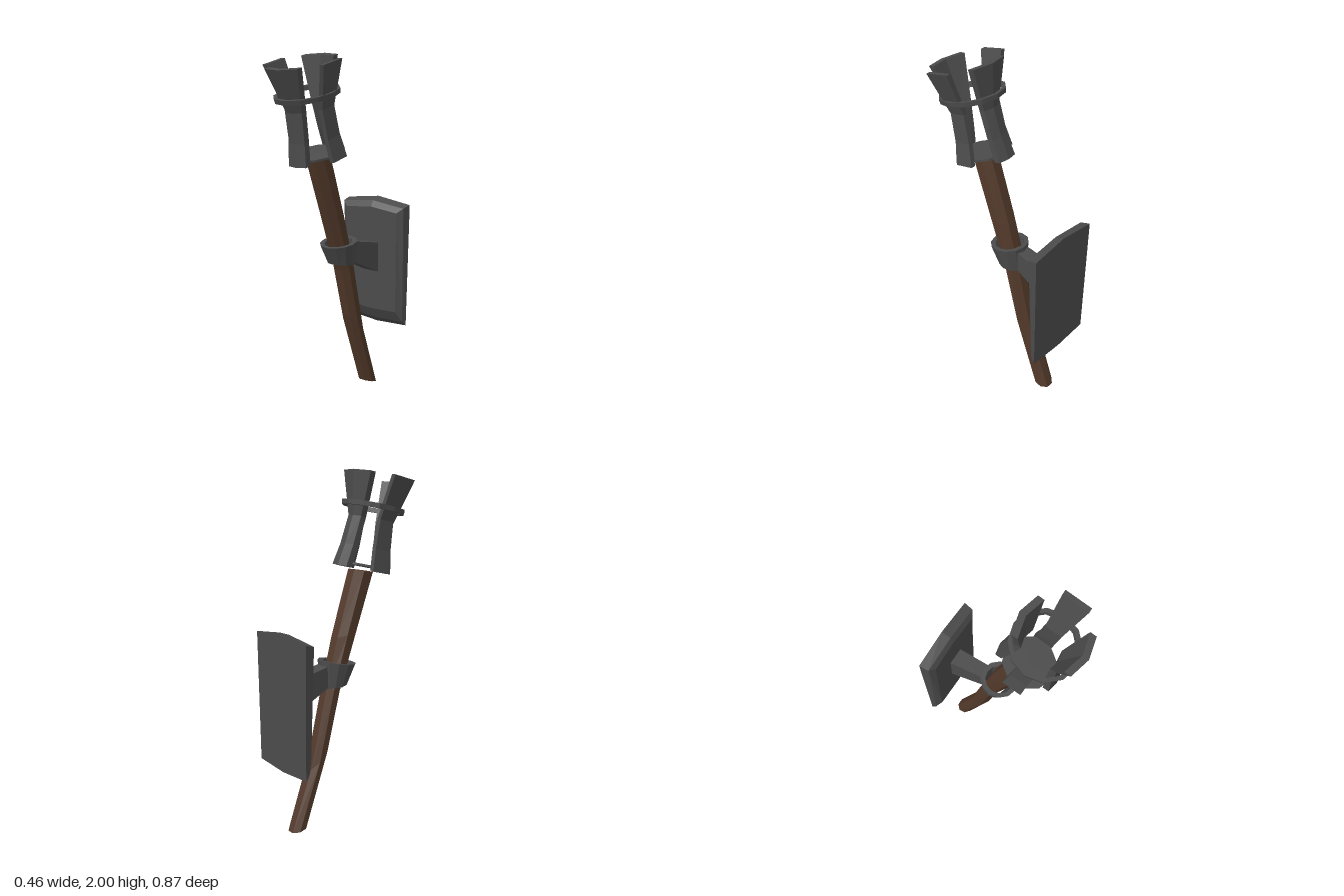
import * as THREE from 'three';

const iron = new THREE.MeshStandardMaterial({ color: 0x4b4b4b });
iron.name = 'dark iron';
const wood = new THREE.MeshStandardMaterial({ color: 0x52392a });
wood.name = 'brown wood';

// Skin a list of equal-length point loops; loops run counter-clockwise seen from the far end.
function loft(loops, caps = true) {
  const n = loops[0].length, out = [];
  const tri = (a, b, c) => out.push(...a, ...b, ...c);
  for (let i = 0; i + 1 < loops.length; i++) {
    for (let j = 0; j < n; j++) {
      const k = (j + 1) % n, lo = loops[i], hi = loops[i + 1];
      tri(lo[j], lo[k], hi[k]);
      tri(lo[j], hi[k], hi[j]);
    }
  }
  if (caps) {
    const first = loops[0], last = loops[loops.length - 1];
    for (let j = 1; j + 1 < n; j++) {
      tri(first[0], first[j + 1], first[j]);
      tri(last[0], last[j], last[j + 1]);
    }
  }
  const g = new THREE.BufferGeometry();
  g.setAttribute('position', new THREE.Float32BufferAttribute(out, 3));
  g.computeVertexNormals(); // unshared corners keep the facets flat
  return g;
}

function add(parent, name, geometry, material = iron) {
  const mesh = new THREE.Mesh(geometry, material);
  mesh.name = name;
  parent.add(mesh);
  return mesh;
}

// Elliptical loop around y between a front and a back point, each given as [z, y].
function oval(front, back, rx, sides, offset = 0) {
  return Array.from({ length: sides }, (_, i) => {
    const t = ((i + offset) / sides) * Math.PI * 2, s = (1 + Math.sin(t)) / 2;
    return [
      rx * Math.cos(t),
      front[1] + (back[1] - front[1]) * s,
      front[0] + (back[0] - front[0]) * s,
    ];
  });
}

// Prong leaning along y, facing +z; rows are [height, outer radius, half width, sag of the sides].
function prong(rows, thick) {
  return loft(rows.map(([y, r, w, sag]) => [
    [0, y, r], [w, y, r - sag], [w, y, r - sag - thick],
    [0, y, r - thick], [-w, y, r - sag - thick], [-w, y, r - sag],
  ]));
}

export function createModel() {
  const model = new THREE.Group();
  model.name = 'wallTorch';

  // Bent eight-sided handle
  const handleRows = [
    [[-0.29, 0.035], [-0.39, 0.01], 0.052],
    [[-0.13, 0.495], [-0.257, 0.363], 0.056],
    [[-0.055, 0.79], [-0.145, 0.82], 0.06],
    [[0.075, 1.14], [-0.07, 1.1], 0.064],
    [[0.187, 1.445], [0.05, 1.468], 0.065],
  ];
  add(model, 'handle', loft(handleRows.map(([f, b, rx]) => {
    const loop = oval(f, b, rx, 8, 0.5), k = 1 / Math.cos(Math.PI / 8);
    const cy = (f[1] + b[1]) / 2, cz = (f[0] + b[0]) / 2;
    return loop.map(([x, y, z]) => [x * k, cy + (y - cy) * k, cz + (z - cz) * k]);
  })), wood);

  // Hollow tapered collar
  const bottomOuter = oval([0.0, 0.833], [-0.16, 0.82], 0.082, 12);
  add(model, 'collar', loft([
    bottomOuter,
    oval([0.055, 0.94], [-0.163, 0.975], 0.108, 12),
    oval([0.028, 0.943], [-0.135, 0.97], 0.081, 12),
    oval([-0.022, 0.833], [-0.138, 0.822], 0.06, 12),
    bottomOuter,
  ], false));

  // Arm widening from the collar to the wall plate
  const arm = (z, w, y0, y1) => [[-w, y0, z], [w, y0, z], [w, y1, z], [-w, y1, z]];
  add(model, 'arm', loft([arm(-0.365, 0.052, 0.725, 0.905), arm(-0.15, 0.042, 0.825, 0.948)]));

  // Bevelled six-cornered wall plate
  const plateLoop = (wb, wt, yb, ybMid, yt, ytMid, zb, zt) => [
    [0, ybMid, zb], [wb, yb, zb], [wt, yt, zt], [0, ytMid, zt], [-wt, yt, zt], [-wb, yb, zb],
  ];
  add(model, 'wallPlate', loft([
    plateLoop(0.217, 0.228, 0.4, 0.385, 1.145, 1.175, -0.433, -0.433),
    plateLoop(0.21, 0.222, 0.428, 0.415, 1.13, 1.155, -0.405, -0.377),
    plateLoop(0.18, 0.185, 0.49, 0.48, 1.1, 1.12, -0.372, -0.357),
  ]));

  // Tilted basket
  const basket = new THREE.Group();
  basket.name = 'basket';
  basket.position.set(0, 1.483, 0.132);
  basket.rotation.x = 0.235;
  model.add(basket);

  add(basket, 'basketFloor', new THREE.CylinderGeometry(0.142, 0.142, 0.012, 10).toNonIndexed())
    .geometry.computeVertexNormals();

  const hoop = (r, y) => oval([r, y], [-r, y], r, 12);
  add(basket, 'hoop', loft([
    hoop(0.178, 0.314), hoop(0.182, 0.34), hoop(0.16, 0.34), hoop(0.157, 0.314), hoop(0.178, 0.314),
  ], false));

  // Wide curved prongs front and back, narrow flat ones at the sides
  const wide = prong([
    [-0.022, 0.177, 0.062, 0.012], [0.1, 0.152, 0.056, 0.012],
    [0.26, 0.135, 0.055, 0.014], [0.5, 0.19, 0.114, 0.028],
  ], 0.036);
  const narrow = prong([
    [-0.022, 0.163, 0.056, 0], [0.1, 0.142, 0.05, 0],
    [0.26, 0.135, 0.048, 0], [0.5, 0.214, 0.074, 0],
  ], 0.027);
  ['front', 'left', 'back', 'right'].forEach((side, i) => {
    add(basket, side + 'Prong', i % 2 ? narrow : wide).rotation.y = (i * Math.PI) / 2;
  });

  return model;
}
